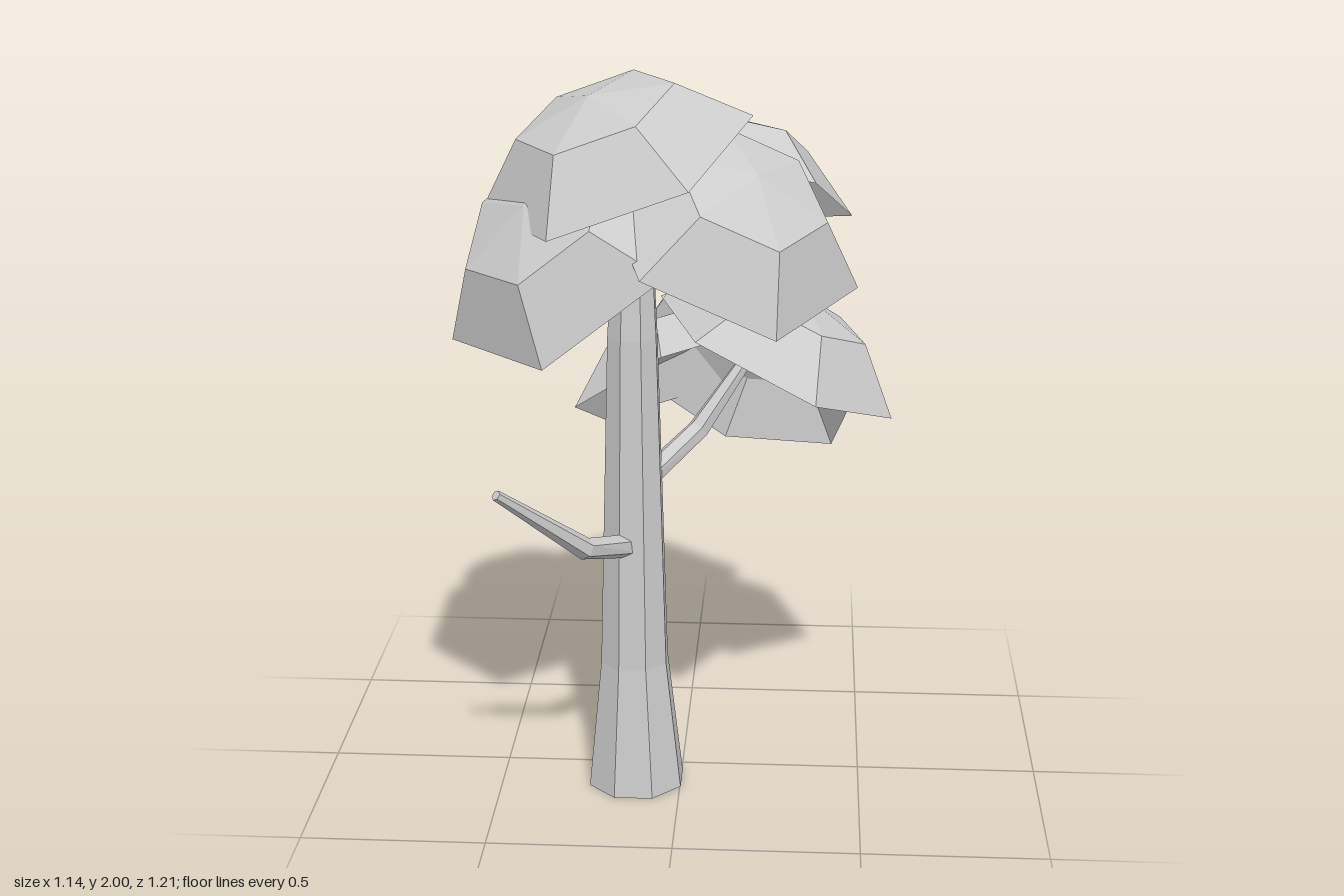
import * as THREE from 'three';

const material = new THREE.MeshStandardMaterial({
  color: 0xcccccc, flatShading: true, side: THREE.DoubleSide,
});

const V = (p) => new THREE.Vector3(...p);

function makeMesh(name, vertices, faces) {
  const indexed = new THREE.BufferGeometry().setFromPoints(vertices);
  indexed.setIndex(faces);
  const geometry = indexed.toNonIndexed();
  geometry.computeVertexNormals();
  const mesh = new THREE.Mesh(geometry, material);
  mesh.name = name;
  return mesh;
}

// Tapered stem with an open foot: one ring of vertices per [x, y, z, radius] station
function stem(name, stations, sides) {
  const centres = stations.map((s) => V(s.slice(0, 3)));
  const vertices = [];
  const faces = [];
  centres.forEach((c, i) => {
    const before = centres[Math.max(i - 1, 0)];
    const after = centres[Math.min(i + 1, centres.length - 1)];
    const t = after.clone().sub(before).normalize();
    const u = new THREE.Vector3(0, 0, 1).cross(t).normalize();
    const w = u.clone().cross(t);
    for (let k = 0; k < sides; k++) {
      const angle = ((k + 0.5) / sides) * Math.PI * 2;
      const r = stations[i][3];
      vertices.push(c.clone()
        .addScaledVector(u, r * Math.cos(angle))
        .addScaledVector(w, r * Math.sin(angle)));
      if (i > 0) {
        const p = (i - 1) * sides + k;
        const q = (i - 1) * sides + ((k + 1) % sides);
        faces.push(p, p + sides, q, q, p + sides, q + sides);
      }
    }
  });
  // Closed tip
  const last = (stations.length - 1) * sides;
  vertices.push(centres[centres.length - 1]);
  for (let k = 0; k < sides; k++) {
    faces.push(last + k, last + sides, last + ((k + 1) % sides));
  }
  return makeMesh(name, vertices, faces);
}

// Hollow six-sided dome: centre of its rim, and two neighbouring rim corners
// given as offsets from that centre
function leafDome(name, centre, first, second) {
  const c = V(centre);
  let a = V(first);
  let b = V(second);
  if (a.clone().cross(b).y < 0) [a, b] = [b, a];
  const radius = (a.length() + b.length()) / 2;
  const axis = a.clone().cross(b).setLength(radius * 0.53);
  const side = b.clone().sub(a);
  const spokes = [a, b, side, a.clone().negate(), b.clone().negate(), side.clone().negate()];

  const rim = spokes.map((s) => c.clone().add(s));
  const shoulder = spokes.map((s) =>
    c.clone().addScaledVector(s, 0.58).addScaledVector(axis, 0.77));
  const vertices = [...rim, ...shoulder, c.clone().add(axis)];
  const faces = [];
  for (let k = 0; k < 6; k++) {
    const n = (k + 1) % 6;
    faces.push(k, n, k + 6, n, n + 6, k + 6, k + 6, n + 6, 12);
  }
  return makeMesh(name, vertices, faces);
}

export function createModel() {
  const tree = new THREE.Group();
  tree.name = 'tree';

  // Trunk with a flared, open foot
  tree.add(stem('trunk', [
    [-0.125, 0, 0.1, 0.138],
    [-0.128, 0.37, 0.1, 0.097],
    [-0.128, 1.3, 0.098, 0.07],
    [-0.125, 1.74, 0.082, 0.045],
  ], 8));

  // Bare branch reaching forward, and the branch carrying the lower crown
  tree.add(stem('bareBranch', [
    [-0.13, 0.715, 0.13, 0.033],
    [-0.24, 0.775, 0.31, 0.03],
    [-0.445, 0.99, 0.5, 0.014],
  ], 6));
  tree.add(stem('leafyBranch', [
    [-0.11, 0.88, 0.09, 0.032],
    [0.04, 0.99, -0.06, 0.03],
    [0.19, 1.2, -0.15, 0.018],
  ], 6));

  // Upper crown around the top of the trunk
  const upper = new THREE.Group();
  upper.name = 'upperCrown';
  upper.add(
    leafDome('topDome', [-0.155, 1.79, 0.23], [0.345, 0.125, 0], [0.2, -0.005, 0.31]),
    leafDome('frontRightDome', [-0.27, 1.58, 0.31], [-0.3, -0.23, 0.02], [-0.04, -0.23, 0.28]),
    leafDome('frontLeftDome', [0.13, 1.64, 0.305], [0.13, -0.21, 0.275], [0.33, -0.15, -0.02]),
    leafDome('backLeftDome', [0.1, 1.655, -0.115], [0.1, -0.155, -0.31], [0.35, -0.085, -0.055]),
    leafDome('backRightDome', [-0.26, 1.645, -0.05], [-0.01, -0.06, -0.27], [-0.24, -0.07, -0.1]),
    leafDome('lowRightDome', [-0.37, 1.49, 0.04], [-0.01, -0.015, -0.26], [-0.16, -0.135, -0.11]),
  );
  tree.add(upper);

  // Lower crown on the leafy branch
  const lower = new THREE.Group();
  lower.name = 'lowerCrown';
  lower.add(
    leafDome('branchTopDome', [0.12, 1.235, -0.42], [-0.09, -0.165, -0.19], [0.18, -0.09, -0.18]),
    leafDome('branchLeftDome', [0.245, 1.16, -0.2], [0.115, -0.035, 0.345], [0.325, -0.14, 0.11]),
    leafDome('branchRightDome', [0, 1.08, -0.29], [-0.31, -0.06, 0.15], [-0.25, -0.185, -0.12]),
    leafDome('branchLowDome', [0.16, 1.03, -0.34], [-0.065, -0.23, -0.22], [0.25, -0.2, -0.08]),
  );
  tree.add(lower);

  return tree;
}
